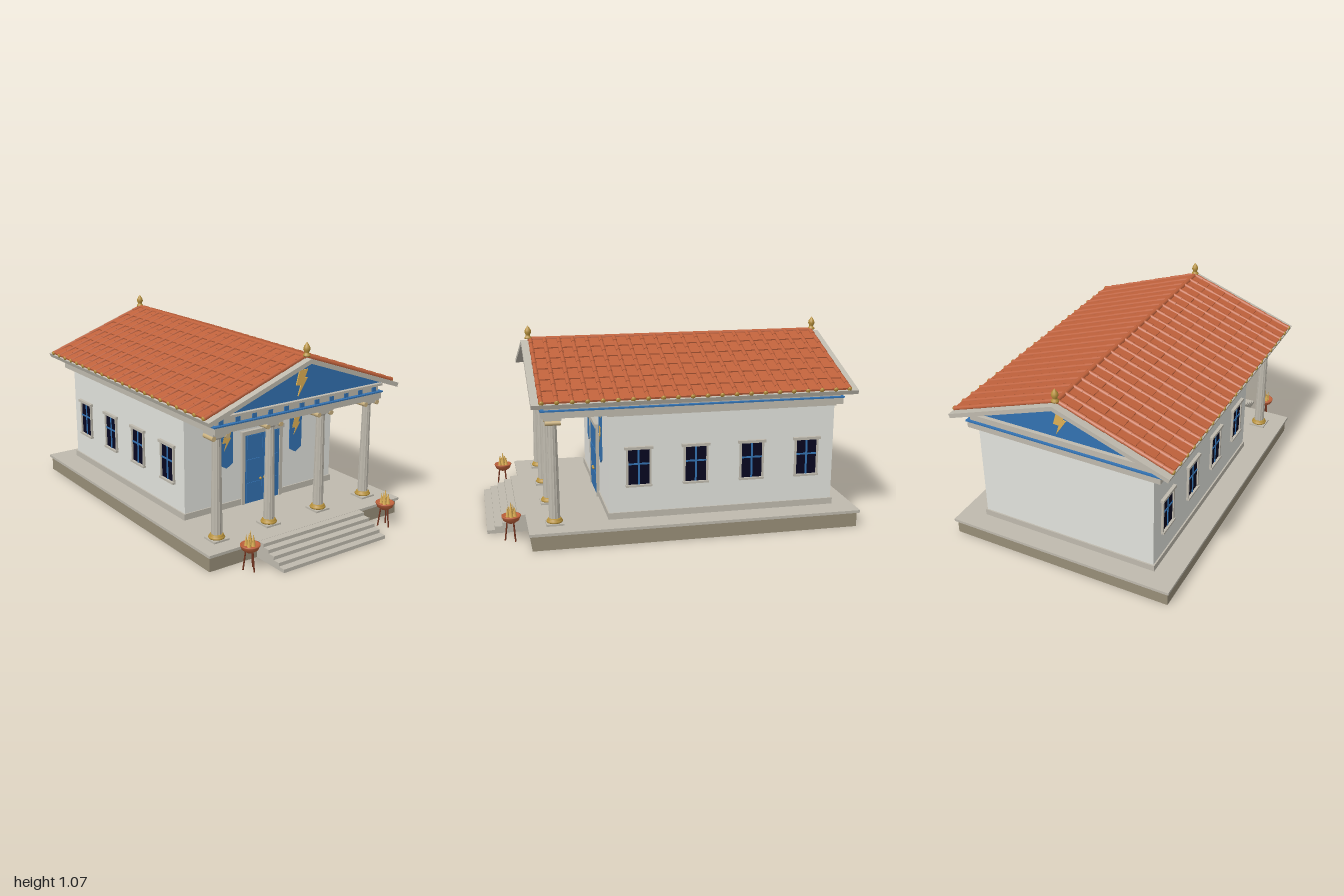
import * as THREE from 'three';
import { mergeGeometries } from 'three/addons/utils/BufferGeometryUtils.js';

const mat = (name, color) => {
  const m = new THREE.MeshStandardMaterial({ color });
  m.name = name;
  return m;
};

export function createModel() {
  const wall = mat('plaster', 0xe2e3dd), stone = mat('pale stone', 0xbfbaae), base = mat('tan stone', 0x988e78);
  const tile = mat('terracotta', 0xc0623c), blue = mat('blue paint', 0x3372b2), gold = mat('old gold', 0xb8923c);
  const brightGold = mat('bright gold', 0xdeb054), glass = mat('dark glass', 0x070620);
  const iron = mat('red brown iron', 0x74341f), sand = mat('sand stone', 0xcbb280);

  const model = new THREE.Group();
  model.name = 'temple';
  const group = (name, parent = model) => {
    const g = new THREE.Group();
    g.name = name;
    parent.add(g);
    return g;
  };
  const add = (name, geo, material, parent = model, x = 0, y = 0, z = 0) => {
    const m = new THREE.Mesh(geo, material);
    m.name = name;
    m.position.set(x, y, z);
    parent.add(m);
    return m;
  };
  // Box given by its limits on each axis
  const box = (name, material, x0, x1, y0, y1, z0, z1, parent = model) =>
    add(name, new THREE.BoxGeometry(x1 - x0, y1 - y0, z1 - z0), material, parent,
      (x0 + x1) / 2, (y0 + y1) / 2, (z0 + z1) / 2);
  const shape = pts => new THREE.Shape(pts.map(p => new THREE.Vector2(...p)));
  const extrude = (s, depth) => new THREE.ExtrudeGeometry(s, { depth, bevelEnabled: false });
  const lathe = (pts, n) => new THREE.LatheGeometry(pts.map(p => new THREE.Vector2(...p)), n);
  const rod = (name, material, a, b, r, parent) => {
    const p = new THREE.Vector3(...a), q = new THREE.Vector3(...b), d = q.clone().sub(p);
    const m = add(name, new THREE.CylinderGeometry(r, r, d.length(), 8), material, parent);
    m.position.copy(p).lerp(q, 0.5);
    m.quaternion.setFromUnitVectors(new THREE.Vector3(0, 1, 0), d.normalize());
  };

  // Platform and steps
  box('platformBody', base, -0.638, 0.638, 0, 0.08, -0.985, 0.78);
  box('platformSlab', stone, -0.648, 0.648, 0.08, 0.095, -1, 0.795);
  for (let i = 0; i < 5; i++)
    box('step', stone, -0.345, 0.345, i * 0.019, (i + 1) * 0.019 - (i === 4 ? 0.001 : 0), 0.77, 1 - i * 0.041);

  // Hall
  box('hallWalls', wall, -0.507, 0.507, 0.095, 0.68, -0.88, 0.36);
  box('wallPlinth', stone, -0.515, 0.515, 0.095, 0.13, -0.888, 0.367);
  box('wallMoulding', stone, -0.515, 0.515, 0.658, 0.675, -0.888, 0.367);

  // Entablature: ring beams around the hall top and the open porch
  const ring = (name, material, x, y0, y1, z0, z1) => {
    const s = shape([[-x, -z1], [x, -z1], [x, -z0], [-x, -z0]]);
    s.holes.push(new THREE.Path([[-0.46, -0.61], [-0.46, 0.8], [0.46, 0.8], [0.46, -0.61]]
      .map(p => new THREE.Vector2(...p))));
    add(name, extrude(s, y1 - y0).rotateX(-Math.PI / 2), material, model, 0, y0);
  };
  ring('architrave', stone, 0.555, 0.674, 0.71, -0.91, 0.71);
  ring('blueBand', blue, 0.563, 0.71, 0.717, -0.915, 0.717);
  ring('frieze', stone, 0.543, 0.717, 0.747, -0.9, 0.695);
  ring('cornice', stone, 0.56, 0.747, 0.76, -0.912, 0.712);
  for (let i = -5; i <= 5; i++)
    box('triglyph', blue, i * 0.102 - 0.0135, i * 0.102 + 0.0135, 0.717, 0.746, 0.695, 0.701);

  // Gables and roof deck
  const gable = extrude(shape([[-0.575, 0.758], [0.575, 0.758], [0, 0.965]]), 0.03);
  add('frontGable', gable, blue, model, 0, 0, 0.66);
  add('backGable', gable, blue, model, 0, 0, -0.89);
  add('roofDeck', extrude(shape([[0, 0.986], [-0.628, 0.763], [-0.62, 0.741], [0, 0.961], [0.62, 0.741],
    [0.628, 0.763]]), 1.73), stone, model, 0, 0, -0.965);

  // Lightning emblem, centred on its own middle
  const bolt = extrude(shape([[-0.017, 0.068], [-0.038, -0.009], [-0.007, -0.012], [-0.025, -0.068],
    [0.036, 0.024], [0.018, 0.026], [0.038, 0.068]]), 0.006);
  add('frontBolt', bolt, brightGold, model, 0, 0.847, 0.69);
  add('backBolt', bolt, brightGold, model, 0, 0.847, -0.89).rotation.y = Math.PI;

  // Roof tiles: overlapping flat courses, with rounded cover tiles over the joints, half a course out of step
  const slope = Math.atan2(0.223, 0.628), courses = 6, total = 0.655, len = total / courses;
  const strips = 21, pitch = 1.627 / strips;
  const flats = [], covers = [], ends = [];
  for (let s = 0; s <= strips; s++) {
    const z = (s - strips / 2) * pitch;
    for (let c = 0; c < courses && s < strips; c++)
      flats.push(new THREE.BoxGeometry(len + 0.006, 0.01, pitch - 0.001)
        .rotateZ(0.06).translate((c + 0.5) * len, 0.006, z + pitch / 2));
    for (let c = 0; c <= courses; c++) {
      const a = Math.max(0, (c - 0.5) * len), b = Math.min(total, (c + 0.5) * len);
      covers.push(new THREE.CylinderGeometry(0.011, 0.014, b - a + 0.004, 8)
        .rotateZ(Math.PI / 2).translate((a + b) / 2, 0.008, z));
    }
    ends.push(new THREE.SphereGeometry(0.013, 8, 6).scale(0.6, 1, 1).translate(total + 0.004, 0.009, z));
  }
  const flatGeo = mergeGeometries(flats), coverGeo = mergeGeometries(covers), endGeo = mergeGeometries(ends);
  for (const turn of [0, Math.PI]) {
    const half = group('roofHalf');
    half.position.set(0, 0.984, -0.1);
    half.rotation.y = turn;
    const tilted = group('tiles', half);
    tilted.rotation.z = -slope;
    add('flatTiles', flatGeo, tile, tilted);
    add('coverTiles', coverGeo, tile, tilted);
    add('eaveOrnaments', endGeo, gold, tilted);
  }
  add('ridge', new THREE.CylinderGeometry(0.014, 0.014, 1.655, 10).rotateX(Math.PI / 2), tile, model, 0, 0.989, -0.1);
  const finial = lathe([[0, 0], [0.02, 0], [0.02, 0.008], [0.012, 0.016], [0.012, 0.022], [0.019, 0.036],
    [0.016, 0.05], [0.007, 0.064], [0, 0.074]], 12);
  for (const z of [0.725, -0.925]) add('finial', finial, gold, model, 0, 0.993, z);

  // Columns with fluted shafts
  const sides = 24;
  let shaft = new THREE.CylinderGeometry(0.0235, 0.03, 0.515, sides);
  const p = shaft.attributes.position;
  for (let i = 0; i < p.count; i++) {
    const k = Math.round(Math.atan2(p.getX(i), p.getZ(i)) / (2 * Math.PI / sides));
    if (k % 2) p.setXYZ(i, p.getX(i) * 0.93, p.getY(i), p.getZ(i) * 0.93);
  }
  shaft = shaft.toNonIndexed();
  shaft.computeVertexNormals();
  const foot = lathe([[0, 0], [0.042, 0], [0.044, 0.006], [0.04, 0.011], [0.036, 0.013], [0.037, 0.018],
    [0.031, 0.023], [0, 0.023]], 20);
  const volute = new THREE.CylinderGeometry(0.013, 0.013, 0.08, 12).rotateX(Math.PI / 2);
  for (const x of [-0.505, -0.17, 0.17, 0.505]) {
    const c = group('column');
    c.position.set(x, 0, 0.652);
    box('columnPlinth', stone, -0.047, 0.047, 0.095, 0.105, -0.047, 0.047, c);
    add('columnFoot', foot, gold, c, 0, 0.105);
    add('shaft', shaft, stone, c, 0, 0.3825);
    add('neck', new THREE.CylinderGeometry(0.036, 0.025, 0.018, 16), stone, c, 0, 0.645);
    for (const s of [-1, 1]) add('volute', volute, sand, c, s * 0.042, 0.649);
    box('capitalBlock', stone, -0.04, 0.04, 0.648, 0.662, -0.036, 0.036, c);
    box('abacus', stone, -0.05, 0.05, 0.662, 0.674, -0.044, 0.044, c);
  }

  // Door
  const door = group('door');
  box('lintel', stone, -0.145, 0.145, 0.498, 0.521, 0.35, 0.382, door);
  for (const s of [-1, 1]) {
    box('doorLeaf', blue, s * 0.06 - 0.0595, s * 0.06 + 0.0595, 0.095, 0.498, 0.35, 0.37, door);
    box('jamb', stone, s * 0.13 - 0.01, s * 0.13 + 0.01, 0.095, 0.498, 0.35, 0.376, door);
    for (const [y0, y1] of [[0.375, 0.49], [0.24, 0.352], [0.108, 0.215]])
      box('doorPanel', blue, s * 0.06 - 0.046, s * 0.06 + 0.046, y0, y1, 0.368, 0.374, door);
    add('doorKnob', new THREE.SphereGeometry(0.008, 10, 8), gold, door, s * 0.014, 0.228, 0.376);
  }

  // Banners
  const cloth = extrude(shape([[-0.0425, 0.605], [-0.0425, 0.355], [0, 0.33], [0.0425, 0.355], [0.0425, 0.605]]), 0.006);
  for (const x of [-0.24, 0.24]) {
    const b = group('banner');
    b.position.set(x, 0, 0.362);
    add('cloth', cloth, blue, b);
    box('trim', brightGold, -0.0425, 0.0425, 0.594, 0.601, 0.005, 0.008, b);
    rod('bannerRod', iron, [-0.05, 0.609, 0.005], [0.05, 0.609, 0.005], 0.004, b);
    add('bannerBolt', bolt, brightGold, b, 0.002, 0.485, 0.005).scale.set(0.77, 0.77, 0.4);
  }

  // Side windows, built facing +z then turned outward
  for (const s of [-1, 1])
    for (let i = 0; i < 4; i++) {
      const w = group('window');
      w.position.set(s * 0.507, 0, 0.203 - i * 0.31);
      w.rotation.y = s * Math.PI / 2;
      box('pane', glass, -0.058, 0.058, 0.28, 0.476, -0.002, 0.004, w);
      box('windowSill', stone, -0.07, 0.07, 0.27, 0.281, -0.002, 0.018, w);
      box('windowHead', stone, -0.077, 0.077, 0.475, 0.49, -0.002, 0.018, w);
      box('mullion', blue, -0.005, 0.005, 0.281, 0.475, 0, 0.008, w);
      box('crossbar', blue, -0.058, 0.058, 0.39, 0.399, 0, 0.008, w);
      for (const e of [-1, 1])
        box('windowJamb', stone, e * 0.062 - 0.005, e * 0.062 + 0.005, 0.281, 0.475, -0.002, 0.012, w);
    }

  // Braziers on three legs
  const bowl = lathe([[0, 0.095], [0.022, 0.1], [0.042, 0.115], [0.051, 0.135], [0.051, 0.14],
    [0.045, 0.14], [0.038, 0.134], [0, 0.132]], 16);
  for (const x of [-0.46, 0.46]) {
    const b = group('brazier');
    b.position.set(x, 0, 0.875);
    add('bowl', bowl, tile, b);
    for (let i = 0; i < 3; i++) {
      const a = i * 2 * Math.PI / 3 + Math.PI / 2, cx = Math.cos(a), cz = Math.sin(a);
      rod('leg', iron, [cx * 0.035, 0.002, cz * 0.035], [cx * 0.022, 0.105, cz * 0.022], 0.004, b);
    }
    add('flame', new THREE.ConeGeometry(0.015, 0.085, 8), brightGold, b, 0, 0.172);
    for (let i = 0; i < 5; i++) {
      const a = i * 2 * Math.PI / 5;
      add('flame', new THREE.ConeGeometry(0.011, 0.055 + (i % 2) * 0.012, 6), brightGold, b,
        Math.cos(a) * 0.02, 0.16, Math.sin(a) * 0.02);
    }
  }
  return model;
}
